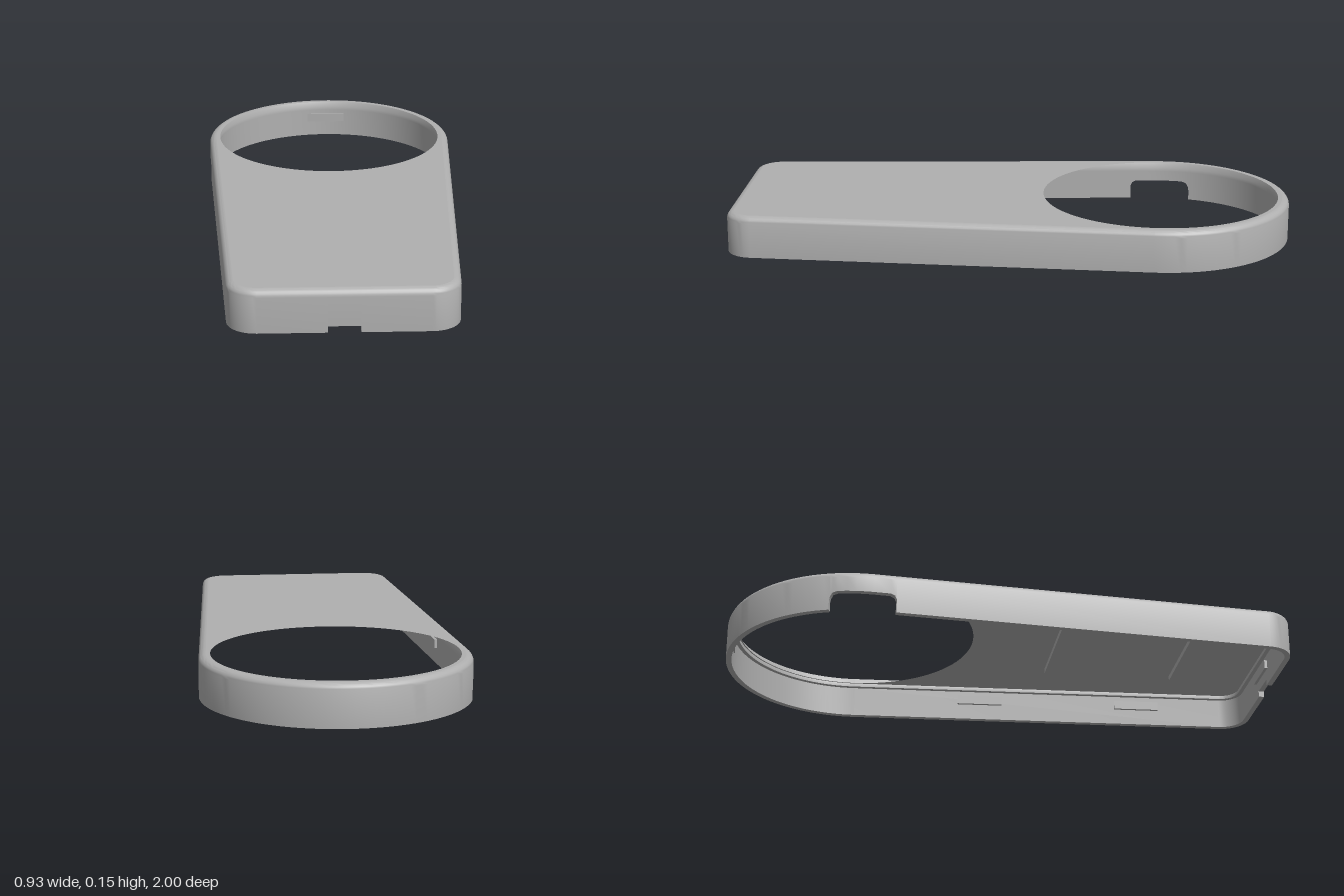
import * as THREE from 'three';
import { toCreasedNormals } from 'three/addons/utils/BufferGeometryUtils.js';

const HEIGHT = 0.148, CEILING = 0.125, ROUND = 0.025, WALL = 0.02;
const RING = { x: 0, z: -0.535, r: 0.465 };
const CORNER = { x: 0.28, z: 0.9, r: 0.1 };
const HOLE_R = 0.425;

// direction of the straight side's outward normal, tangent to ring and corner
const dx = CORNER.x - RING.x, dz = CORNER.z - RING.z;
const TILT = Math.atan2(dz, dx) - Math.acos((RING.r - CORNER.r) / Math.hypot(dx, dz));
const rad = THREE.MathUtils.degToRad, lerp = THREE.MathUtils.lerp;

// a station on the outline: circle centre, radius, normal angle, height of the wall's lower edge
const station = (x, z, r, a, base = 0) => ({ x, z, r, a, base });
const ringStation = (a, base) => station(RING.x, RING.z, RING.r, a, base);
const frontStation = (x, base) => station(x, CORNER.z, CORNER.r, Math.PI / 2, base);

// point on a straight side: t = 0 at the ring, 1 at the front corner
function sideStation(t, side, base) {
  return station(side * lerp(RING.x, CORNER.x, t), lerp(RING.z, CORNER.z, t),
    lerp(RING.r, CORNER.r, t), side > 0 ? TILT : Math.PI - TILT, base);
}

// outline point moved inward by d
const at = (s, d) => [s.x + (s.r - d) * Math.cos(s.a), s.z + (s.r - d) * Math.sin(s.a)];

function makeStations() {
  const list = [];
  const N = 12;
  for (let i = 0; i <= N; i++)
    list.push(station(CORNER.x, CORNER.z, CORNER.r, lerp(TILT, Math.PI / 2, i / N)));
  // small slot in the front wall
  list.push(frontStation(0.053, 0), frontStation(0.053, 0.022),
    frontStation(-0.053, 0.022), frontStation(-0.053, 0));
  for (let i = 0; i <= N; i++)
    list.push(station(-CORNER.x, CORNER.z, CORNER.r, lerp(Math.PI / 2, Math.PI - TILT, i / N)));
  // rounded cable notch beside the ring
  for (const [t, base] of [[0.055, 0], [0.055, 0.05], [0.051, 0.063], [0.04, 0.07]])
    list.push(sideStation(t, -1, base));
  for (const deg of [180 - THREE.MathUtils.radToDeg(TILT), 180, 184, 188, 192])
    list.push(ringStation(rad(deg), 0.07));
  for (const [deg, base] of [[194.2, 0.064], [195.2, 0.05], [195.6, 0.035], [195.6, 0]])
    list.push(ringStation(rad(deg), base));
  const M = 60;
  for (let i = 1; i <= M; i++)
    list.push(ringStation(lerp(rad(195.6), 2 * Math.PI + TILT, i / M)));
  return list;
}

// hollow wall: one profile carried around the outline
function wallGeometry(stations) {
  const profile = (base) => {
    const p = [[0, base]];
    for (let i = 0; i <= 6; i++) {
      const a = (i / 6) * Math.PI / 2;
      p.push([ROUND * (1 - Math.cos(a)), HEIGHT - ROUND * (1 - Math.sin(a))]);
    }
    p.push([0.035, CEILING], [0.035, 0.112], [WALL, 0.112], [WALL, base]);
    return p;
  };
  const loops = stations.map((s) => profile(s.base).map(([d, y]) => {
    const [x, z] = at(s, d);
    return [x, y, z];
  }));
  const pos = [];
  loops.forEach((A, i) => {
    const B = loops[(i + 1) % loops.length];
    A.forEach((low, j) => {
      const k = (j + 1) % A.length;
      pos.push(...low, ...A[k], ...B[k], ...low, ...B[k], ...B[j]);
    });
  });
  const g = new THREE.BufferGeometry();
  g.setAttribute('position', new THREE.Float32BufferAttribute(pos, 3));
  return toCreasedNormals(g, 0.5);
}

// flat top plate with the round opening
function plateGeometry(stations) {
  const pts = [];
  for (const s of stations) {
    const [x, z] = at(s, ROUND);
    const p = new THREE.Vector2(x, -z);
    if (!pts.some((q) => q.distanceTo(p) < 1e-4)) pts.push(p);
  }
  const shape = new THREE.Shape(pts);
  const hole = new THREE.Path();
  hole.absarc(0, -RING.z, HOLE_R, 0, Math.PI * 2, true);
  shape.holes.push(hole);
  const g = new THREE.ExtrudeGeometry(shape, {
    depth: HEIGHT - CEILING, bevelEnabled: false, curveSegments: 80,
  });
  g.rotateX(-Math.PI / 2).translate(0, CEILING, 0);
  return toCreasedNormals(g, 0.5);
}

export function createModel() {
  const model = new THREE.Group();
  model.name = 'cover';
  const grey = new THREE.MeshStandardMaterial({ color: 0xb0b0b0 });
  grey.name = 'grey plastic';
  const add = (name, geometry) => {
    const m = new THREE.Mesh(geometry, grey);
    m.name = name;
    model.add(m);
    return m;
  };

  const stations = makeStations();
  add('wall', wallGeometry(stations));
  add('topPlate', plateGeometry(stations));

  // cross ribs under the plate
  for (const z of [0.2, 0.68])
    add('rib', new THREE.BoxGeometry(0.38, 0.022, 0.02)).position.set(0, CEILING - 0.008, z);

  // snap clips on the inside of the wall
  const addClip = (s, length) => {
    const [x, z] = at(s, WALL);
    const clip = add('clip', new THREE.BoxGeometry(0.02, 0.032, length));
    clip.position.set(x, 0.075, z);
    clip.rotation.y = -s.a;
  };
  for (const side of [1, -1])
    for (const t of [0.34, 0.77]) addClip(sideStation(t, side), 0.17);
  addClip(frontStation(0), 0.15);
  addClip(ringStation(Math.PI * 1.5), 0.15);

  return model;
}
